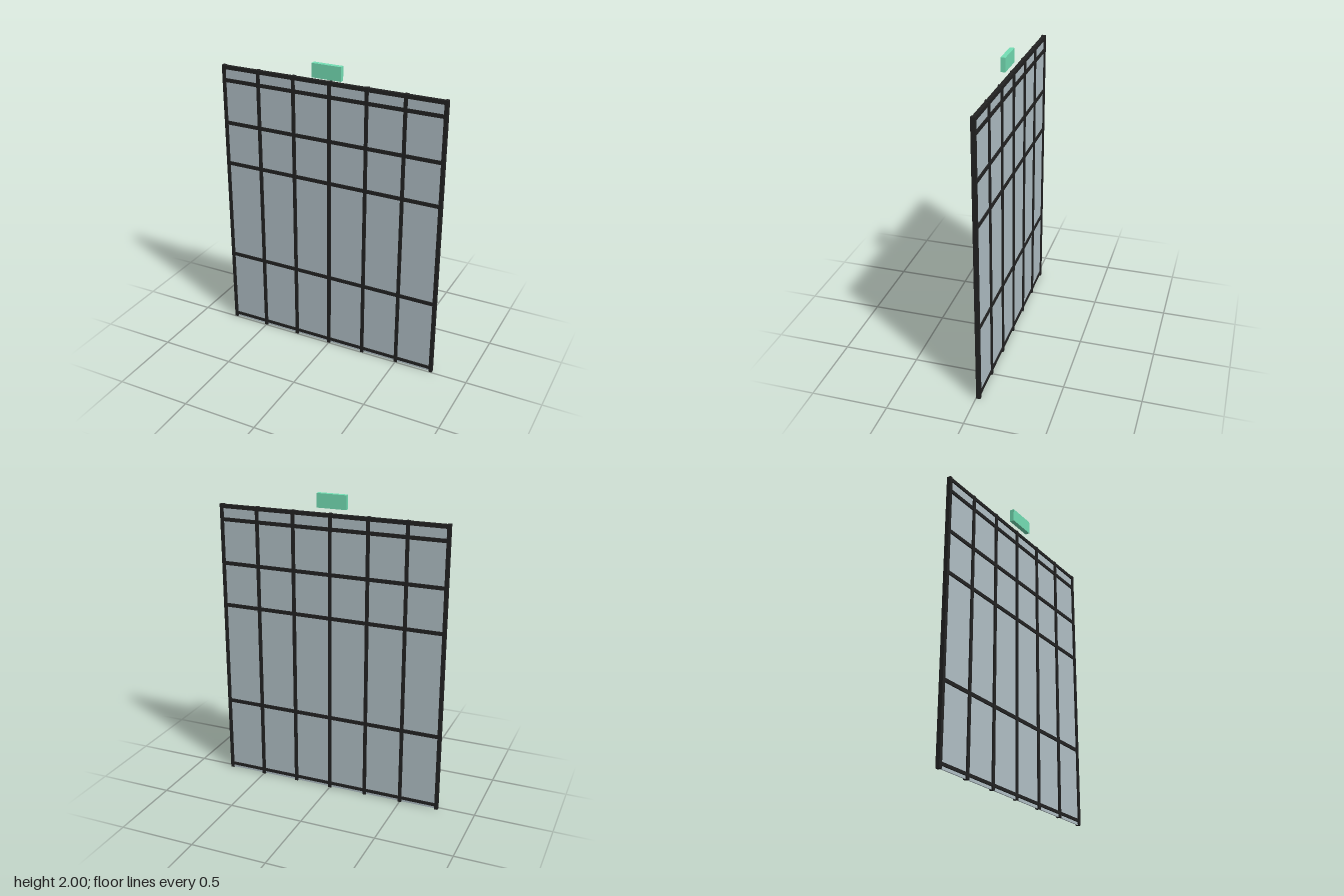
import * as THREE from 'three';

export function createModel() {
  const model = new THREE.Group();
  const frameMat = new THREE.MeshStandardMaterial({ color: 0x222222 });
  const glassMat = new THREE.MeshStandardMaterial({ color: 0xb0bfc5 });
  const plateMat = new THREE.MeshStandardMaterial({ color: 0x74deb4 });

  const box = (name, mat, w, h, d, x, y, z) => {
    const mesh = new THREE.Mesh(new THREE.BoxGeometry(w, h, d), mat);
    mesh.name = name;
    mesh.position.set(x, y, z);
    model.add(mesh);
  };
  const z = -0.016; // centre plane of the window wall

  // Glazing behind and in front of which the bars stand proud
  box('glass', glassMat, 1.5, 1.88, 0.008, 0, 0.942, z);

  // Seven evenly spaced uprights
  for (let i = -3; i <= 3; i++) {
    box('mullion', frameMat, 0.022, 1.887, 0.028, i * 0.25, 0.9435, z);
  }

  // Cross bars at uneven heights
  for (const y of [0.03, 0.519, 1.211, 1.498, 1.787, 1.872]) {
    box('transom', frameMat, 1.5, y < 0.1 ? 0.02 : 0.024, 0.024, 0, y, z);
  }

  // Small plate floating above the frame
  box('topPlate', plateMat, 0.196, 0.09, 0.03, 0, 1.955, 0.015);
  return model;
}
